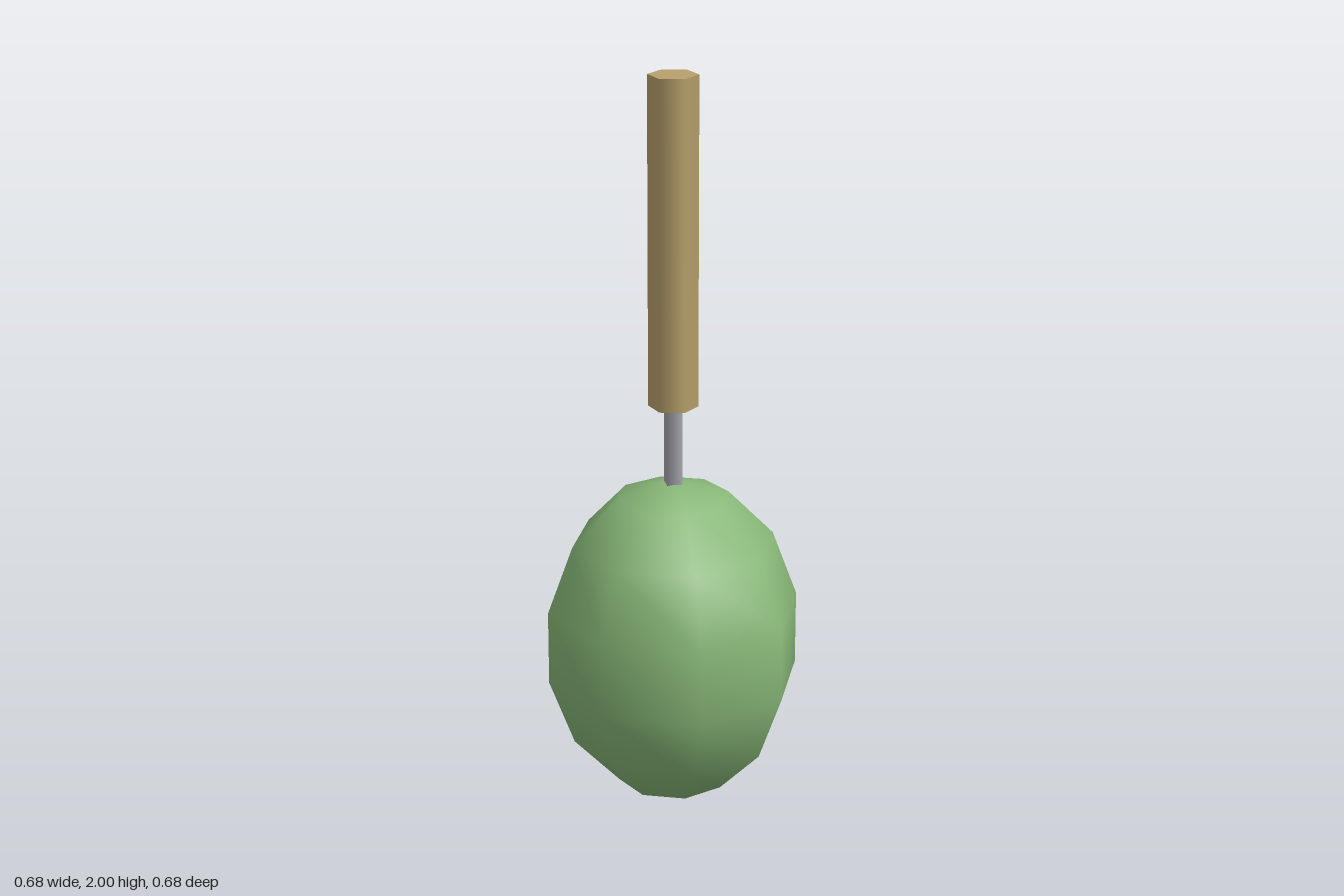
import * as THREE from 'three';

export function createModel() {
  const group = new THREE.Group();

  const add = (name, geometry, color, y) => {
    const mesh = new THREE.Mesh(geometry, new THREE.MeshStandardMaterial({ color }));
    mesh.name = name;
    mesh.position.y = y;
    group.add(mesh);
    return mesh;
  };

  // Upright post between two heights
  const post = (name, radius, bottom, top, sides, color) =>
    add(name, new THREE.CylinderGeometry(radius, radius, top - bottom, sides), color, (bottom + top) / 2);

  // Egg-shaped head: a low-poly sphere stretched upwards
  const head = new THREE.SphereGeometry(1, 8, 7).scale(0.351, 0.456, 0.351);
  add('head', head, 0x88b878, 0.456);

  // Thin four-sided rod joining head and handle
  post('rod', 0.029, 0.89, 1.13, 4, 0xa4a4ac);

  // Six-sided handle
  post('handle', 0.066, 1.12, 2, 6, 0xb8a06c);

  return group;
}
